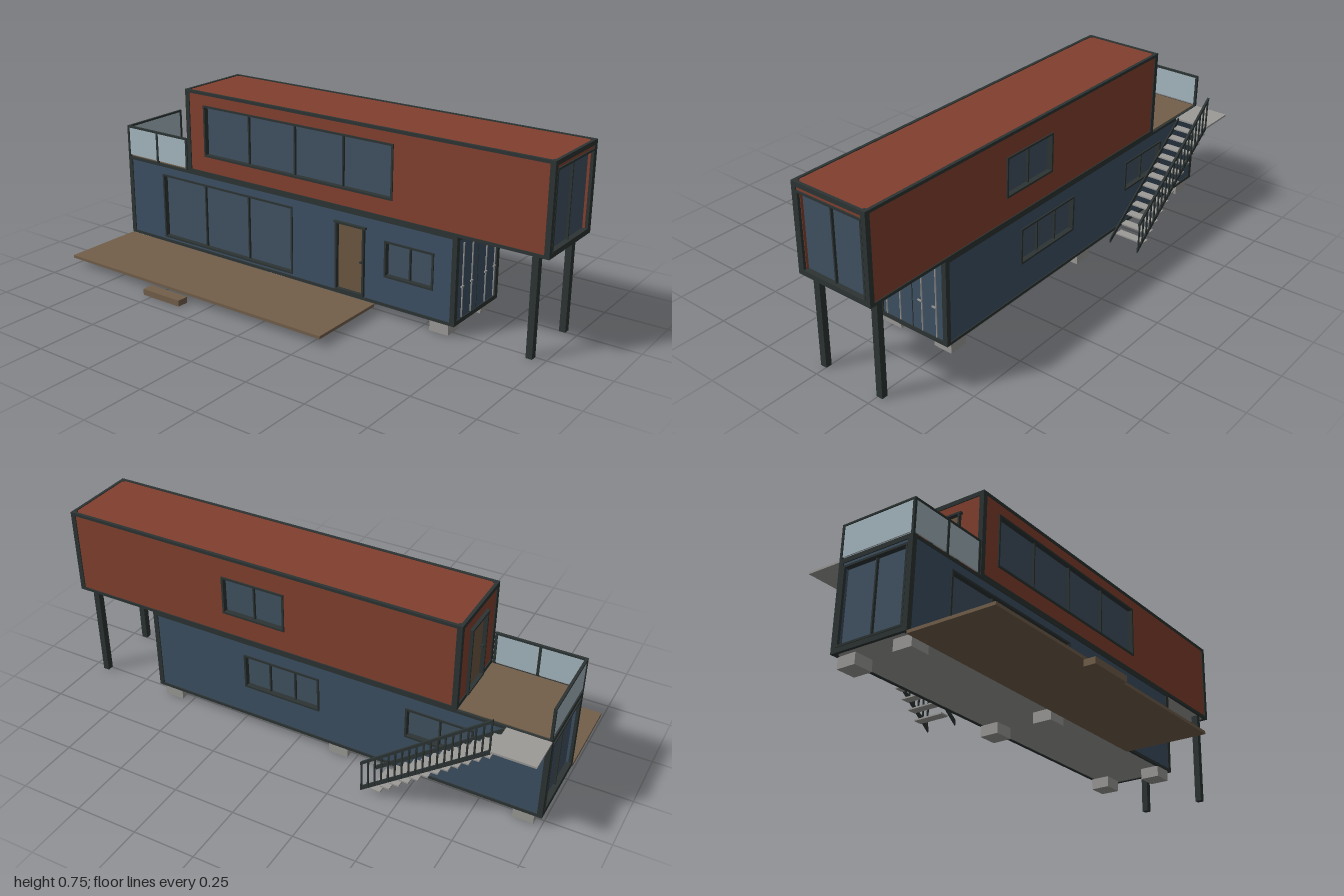
import * as THREE from 'three';

const mat = (name, color, double) => {
  const m = new THREE.MeshStandardMaterial({ color });
  m.name = name;
  if (double) m.side = THREE.DoubleSide;
  return m;
};

export function createModel() {
  const red = mat('rust red', 0x82402e);
  const blue = mat('steel blue', 0x3d5063);
  const dark = mat('frame charcoal', 0x2c3433);
  const glass = mat('window glass', 0x415262);
  const wood = mat('deck wood', 0x725f4a);
  const doorWood = mat('door wood', 0x6e5741);
  const grey = mat('concrete grey', 0x9b9a97);
  const pale = mat('railing glass', 0xa6b8c0, true);

  const model = new THREE.Group();
  model.name = 'containerHouse';
  const ZC = -0.125, W = 0.33; // shared centre line and width of both containers

  const group = (name, parent = model) => {
    const g = new THREE.Group();
    g.name = name;
    parent.add(g);
    return g;
  };
  // Box given by its minimum and maximum on each axis
  const box = (parent, name, m, x0, x1, y0, y1, z0, z1) => {
    const mesh = new THREE.Mesh(new THREE.BoxGeometry(x1 - x0, y1 - y0, z1 - z0), m);
    mesh.position.set((x0 + x1) / 2, (y0 + y1) / 2, (z0 + z1) / 2);
    mesh.name = name;
    parent.add(mesh);
    return mesh;
  };

  // Framed opening in a wall facing local +z: frame, recessed panes, mullions
  const opening = (wall, { u0, u1, y0, y1, panes = 1, door }) => {
    const g = group(door ? 'door' : 'window', wall);
    const t = 0.008, front = door ? 0.008 : 0.001, back = -0.028;
    box(g, 'frameLeft', dark, u0, u0 + t, y0, y1, back, front);
    box(g, 'frameRight', dark, u1 - t, u1, y0, y1, back, front);
    box(g, 'frameBottom', dark, u0, u1, y0, y0 + t, back, front);
    box(g, 'frameTop', dark, u0, u1, y1 - t, y1, back, front);
    const face = door ? -0.008 : -0.02;
    box(g, door ? 'doorLeaf' : 'pane', door ? doorWood : glass, u0 + t, u1 - t, y0 + t, y1 - t, face - 0.006, face);
    for (let i = 1; i < panes; i++) {
      const u = u0 + (u1 - u0) * i / panes;
      box(g, 'mullion', dark, u - 0.003, u + 0.003, y0, y1, back, face + 0.01);
    }
    if (door) {
      box(g, 'doorHeader', dark, u0 - 0.006, u1 + 0.006, y1 - t, y1, -0.004, 0.009);
      box(g, 'doorHandle', dark, u1 - 0.022, u1 - 0.012, (y0 + y1) / 2 - 0.008, (y0 + y1) / 2 - 0.002, face, 0.004);
    }
  };

  // Wall panel with holes; openings are given along the wall's world axis
  const wall = (parent, name, m, len, y0, y1, place, list = []) => {
    const g = group(name, parent);
    g.position.set(place.x, 0, place.z);
    g.rotation.y = place.turn;
    const s = new THREE.Shape();
    s.moveTo(-len / 2, y0).lineTo(len / 2, y0).lineTo(len / 2, y1).lineTo(-len / 2, y1).closePath();
    for (const [a, b, c, d, panes, door] of list) {
      const ua = (a - place.mid) * place.sign, ub = (b - place.mid) * place.sign;
      const o = { u0: Math.min(ua, ub), u1: Math.max(ua, ub), y0: c, y1: d, panes, door };
      const h = new THREE.Path();
      h.moveTo(o.u0, c).lineTo(o.u0, d).lineTo(o.u1, d).lineTo(o.u1, c).closePath();
      s.holes.push(h);
      opening(g, o);
    }
    const mesh = new THREE.Mesh(new THREE.ExtrudeGeometry(s, { depth: 0.024, bevelEnabled: false }), m);
    mesh.position.z = -0.028;
    mesh.name = 'panel';
    g.add(mesh);
  };

  const container = (name, m, x0, x1, y0, y1, open) => {
    const g = group(name), z0 = ZC - W / 2, z1 = ZC + W / 2;
    const xc = (x0 + x1) / 2, L = x1 - x0, p = 0.02, b = 0.012, e = 0.018;
    // Corner posts, long beams and end beams
    for (const x of [x0, x1 - p]) for (const z of [z0, z1 - p]) box(g, 'cornerPost', dark, x, x + p, y0, y1, z, z + p);
    for (const z of [z0, z1 - b]) {
      box(g, 'bottomBeam', dark, x0, x1, y0, y0 + b, z, z + b);
      box(g, 'topBeam', dark, x0, x1, y1 - b, y1, z, z + b);
    }
    for (const x of [x0, x1 - b]) {
      box(g, 'endBottomBeam', dark, x, x + b, y0, y0 + e, z0, z1);
      box(g, 'endTopBeam', dark, x, x + b, y1 - e, y1, z0, z1);
    }
    box(g, 'floor', grey, x0 + b, x1 - b, y0 + 0.003, y0 + 0.01, z0 + b, z1 - b);
    box(g, 'roof', m, x0 + b, x1 - b, y1 - 0.01, y1 - 0.003, z0 + b, z1 - b);
    const a = y0 + 0.008, c = y1 - 0.008;
    wall(g, 'frontWall', m, L - 0.02, a, c, { x: xc, z: z1, turn: 0, mid: xc, sign: 1 }, open.front);
    wall(g, 'backWall', m, L - 0.02, a, c, { x: xc, z: z0, turn: Math.PI, mid: xc, sign: -1 }, open.back);
    wall(g, 'rightEndWall', m, W - 0.02, a, c, { x: x1, z: ZC, turn: Math.PI / 2, mid: ZC, sign: -1 }, open.plusX);
    wall(g, 'leftEndWall', m, W - 0.02, a, c, { x: x0, z: ZC, turn: -Math.PI / 2, mid: ZC, sign: 1 }, open.minusX);
    return g;
  };

  const lower = container('lowerContainer', blue, -1, 0.645, 0.043, 0.395, {
    front: [[-0.8, -0.1, 0.064, 0.35, 3], [0.113, 0.247, 0.058, 0.343, 1, true], [0.335, 0.55, 0.163, 0.31, 2]],
    back: [[-0.1, 0.228, 0.18, 0.33, 3], [-0.72, -0.455, 0.2, 0.33, 2]],
    minusX: [[-0.27, 0.02, 0.062, 0.365, 2]],
  });
  container('upperContainer', red, -0.65, 1, 0.395, 0.745, {
    front: [[-0.555, 0.365, 0.473, 0.69, 4]],
    back: [[0.045, 0.312, 0.495, 0.655, 2]],
    plusX: [[-0.272, 0.022, 0.409, 0.715, 2]],
    minusX: [[-0.205, -0.065, 0.407, 0.685, 1, true]],
  });

  // Cargo doors: centre seam, locking bars and handles
  const cargo = group('cargoDoors', lower);
  box(cargo, 'doorSeam', dark, 0.64, 0.643, 0.06, 0.375, ZC - 0.0015, ZC + 0.0015);
  for (const d of [-0.12, -0.053, 0.053, 0.12]) {
    const bar = new THREE.Mesh(new THREE.CylinderGeometry(0.003, 0.003, 0.295, 8), grey);
    bar.position.set(0.649, 0.217, ZC + d);
    bar.name = 'lockingBar';
    cargo.add(bar);
    box(cargo, 'lockHandle', grey, 0.65, 0.655, 0.192, 0.198, ZC + d - 0.002, ZC + d + 0.016);
  }

  // Footings and the posts under the overhang
  for (const z of [-0.285, -0.042]) for (const x of [-0.97, -0.22, 0.54]) box(model, 'footing', grey, x, x + 0.08, 0, 0.044, z, z + 0.079);
  for (const z of [-0.272, -0.002]) box(model, 'supportPost', dark, 0.93, 0.955, 0, 0.397, z, z + 0.027);

  // Ground deck, step and roof terrace
  box(model, 'groundDeck', wood, -1, 0.295, 0.03, 0.042, 0.04, 0.39);
  box(model, 'deckStep', wood, -0.54, -0.35, 0, 0.025, 0.392, 0.44);
  box(model, 'terraceFloor', wood, -0.99, -0.652, 0.39, 0.398, -0.28, 0.03);

  // Glass balustrade around the terrace
  const rail = group('glassBalustrade');
  for (const x of [-1, -0.832, -0.664]) box(rail, 'railPost', dark, x, x + 0.01, 0.395, 0.53, 0.03, 0.04);
  box(rail, 'railPost', dark, -1, -0.99, 0.395, 0.53, -0.29, -0.28);
  box(rail, 'frontTopRail', dark, -1, -0.654, 0.524, 0.532, 0.03, 0.04);
  box(rail, 'endTopRail', dark, -1, -0.99, 0.524, 0.532, -0.29, 0.04);
  box(rail, 'frontGlass', pale, -0.99, -0.664, 0.403, 0.524, 0.033, 0.037);
  box(rail, 'endGlass', pale, -0.997, -0.993, 0.403, 0.524, -0.28, 0.03);

  // Outside stair: landing, treads, stringers and baluster rail
  const stair = group('outsideStair');
  box(stair, 'landing', grey, -1, -0.835, 0.385, 0.393, -0.435, -0.29);
  const N = 12, run = 0.44 / N;
  for (let i = 0; i < N; i++) {
    const x = -0.835 + i * run, y = 0.36 - i * 0.03;
    box(stair, 'tread', grey, x, x + run, y - 0.003, y + 0.003, -0.43, -0.3);
  }
  const slope = (name, yTop, yEnd, h, z, t) => {
    const s = new THREE.Shape();
    s.moveTo(-0.835, yTop - h).lineTo(-0.352, yEnd).lineTo(-0.352, yEnd + h).lineTo(-0.835, yTop).closePath();
    const mesh = new THREE.Mesh(new THREE.ExtrudeGeometry(s, { depth: t, bevelEnabled: false }), dark);
    mesh.position.z = z;
    mesh.name = name;
    stair.add(mesh);
  };
  slope('innerStringer', 0.398, 0.008, 0.02, -0.303, 0.005);
  slope('outerStringer', 0.398, 0.008, 0.02, -0.433, 0.005);
  slope('handrail', 0.527, 0.132, 0.013, -0.437, 0.009);
  for (let i = 0; i <= 18; i++) {
    const x = -0.832 + i * 0.0264, y = 0.385 - (x + 0.835) * 0.77;
    box(stair, 'baluster', dark, x - 0.003, x + 0.003, y, y + 0.13, -0.435, -0.43);
  }
  return model;
}
